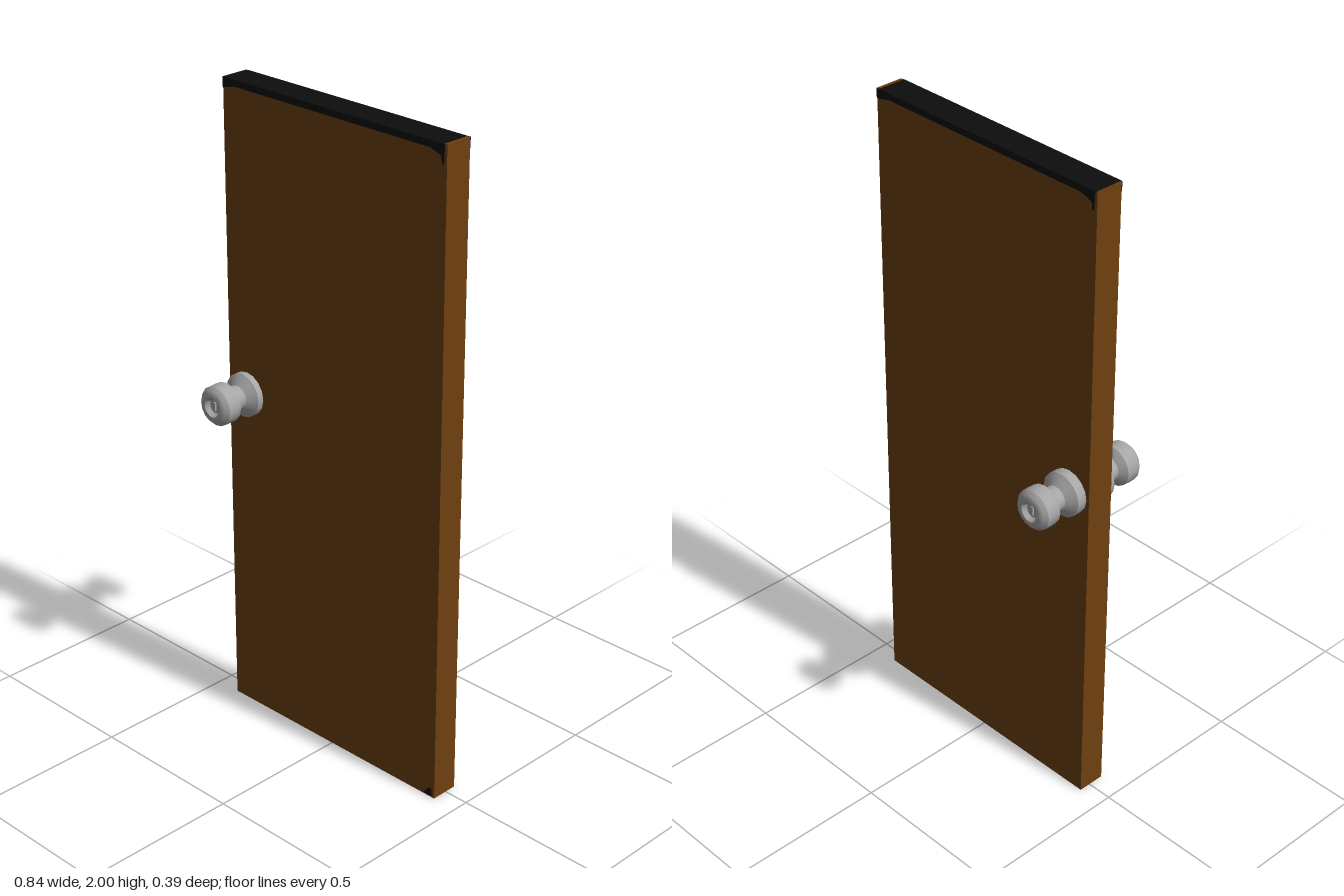
import * as THREE from 'three';
import { toCreasedNormals } from 'three/addons/utils/BufferGeometryUtils.js';

const wood = new THREE.MeshStandardMaterial({ color: 0x6e400f });
wood.name = 'brown wood';
const metal = new THREE.MeshStandardMaterial({ color: 0xa6a6a6 });
metal.name = 'grey metal';
const black = new THREE.MeshStandardMaterial({ color: 0x0d0d0d });
black.name = 'black edge';

const W = 0.84, H = 2, FRONT = 0.05, BACK = -0.037, SKIN = 0.002;
const MID = (FRONT + BACK) / 2;

function add(parent, name, geometry, material, x = 0, y = 0, z = 0) {
  const mesh = new THREE.Mesh(geometry, material);
  mesh.name = name;
  mesh.position.set(x, y, z);
  parent.add(mesh);
  return mesh;
}

// Thin plate cut from an outline of [x, y] points
function plate(points) {
  const shape = new THREE.Shape(points.map(([x, y]) => new THREE.Vector2(x, y)));
  return new THREE.ExtrudeGeometry(shape, { depth: SKIN, bevelEnabled: false });
}

// Flange, neck and dished grip turned around one axis, pointing along +z
function knobGeometry() {
  const profile = [
    [0.068, 0.04], [0.068, 0.07], [0.038, 0.091], [0.038, 0.117],
    [0.048, 0.123], [0.061, 0.133], [0.062, 0.154], [0.061, 0.176],
    [0.051, 0.187], [0.038, 0.193], [0.03, 0.192], [0.022, 0.178], [0, 0.176],
  ].map(([r, h]) => new THREE.Vector2(r, h));
  const geometry = new THREE.LatheGeometry(profile, 16);
  geometry.rotateX(Math.PI / 2);
  return toCreasedNormals(geometry, 0.6);
}

export function createModel() {
  const door = new THREE.Group();
  door.name = 'door';

  // Slab
  add(door, 'slab', new THREE.BoxGeometry(W, H - SKIN, FRONT - BACK), wood, 0, (H - SKIN) / 2, MID);

  // Black top edge, leaving a bare strip at each end
  add(door, 'topEdge', new THREE.BoxGeometry(0.827, SKIN, FRONT - BACK), black, -0.0035, H - SKIN / 2, MID);
  for (const x of [-0.4185, 0.415]) {
    const width = x < 0 ? 0.003 : 0.01;
    add(door, 'topEnd', new THREE.BoxGeometry(width, SKIN, FRONT - BACK), wood, x, H - SKIN / 2, MID);
  }

  // Ragged black band along the top of both faces
  const band = plate([
    [-0.42, 2], [-0.42, 1.97], [-0.405, 1.972], [-0.37, 1.98], [0.36, 1.98],
    [0.39, 1.972], [0.402, 1.965], [0.404, 1.945], [0.41, 1.945], [0.412, 2],
  ].reverse());
  add(door, 'frontBand', band, black, 0, 0, FRONT);
  add(door, 'backBand', band, black, 0, 0, BACK).rotation.y = Math.PI;

  // Small black mark in the lower corner
  add(door, 'cornerMark', plate([[0.38, 0.005], [0.41, 0.005], [0.41, 0.03], [0.396, 0.027]]), black, 0, 0, FRONT);

  // One knob on each face
  const knob = knobGeometry();
  add(door, 'frontKnob', knob, metal, -0.347, 1.055, -0.001);
  add(door, 'backKnob', knob, metal, -0.347, 1.055, -0.002).rotation.y = Math.PI;

  // Keyhole bars set in the dishes
  const bar = new THREE.BoxGeometry(0.008, 0.026, 0.008);
  for (const side of [1, -1]) {
    add(door, 'keyBar', bar, metal, -0.347, 1.055, side * 0.179 - 0.0015);
  }
  return door;
}
